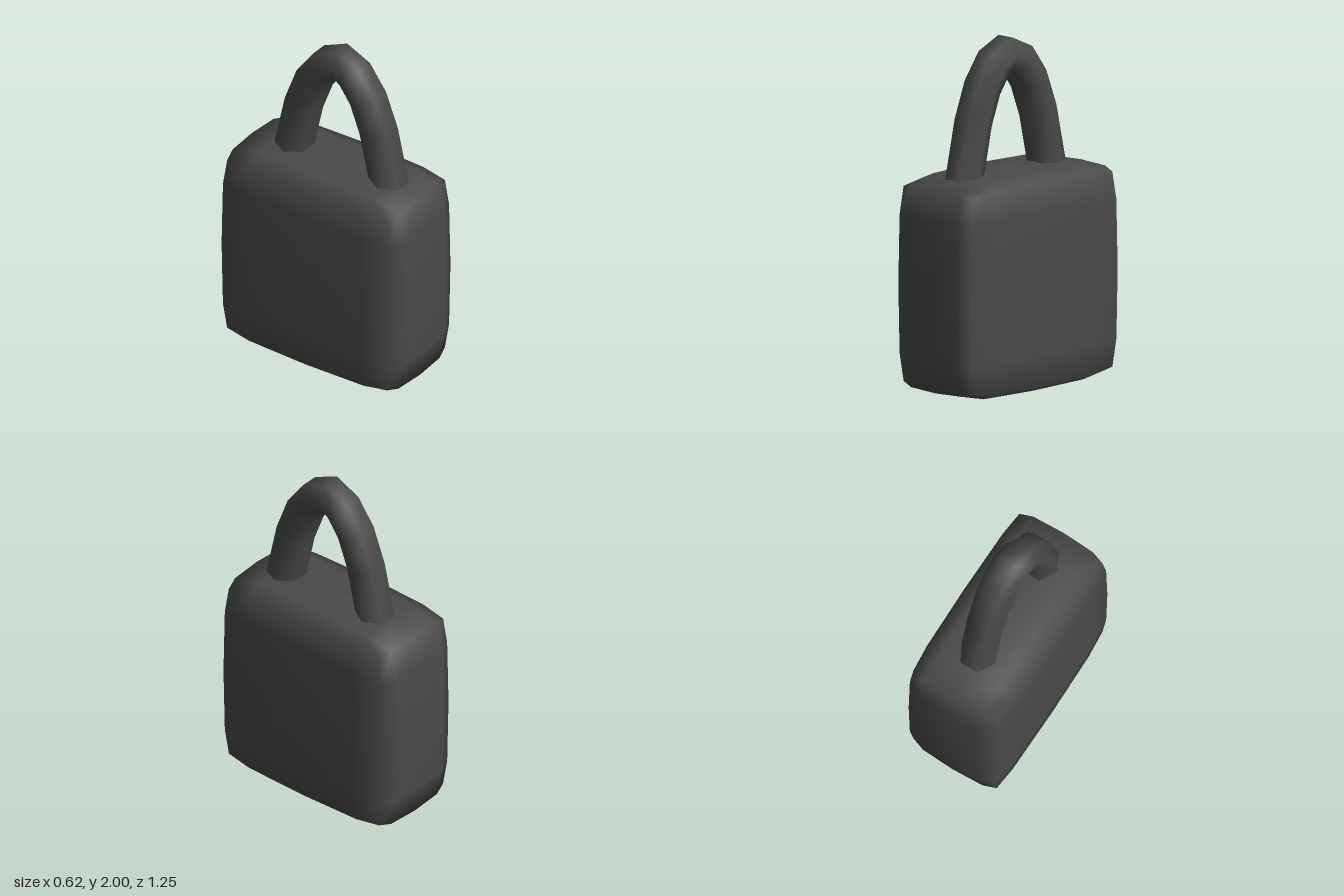
import * as THREE from 'three';
import { mergeVertices } from 'three/addons/utils/BufferGeometryUtils.js';

// Weld the seams so that the normals are smooth everywhere
function smooth(geometry) {
  geometry.deleteAttribute('normal');
  geometry.deleteAttribute('uv');
  const welded = mergeVertices(geometry, 1e-4);
  welded.computeVertexNormals();
  return welded;
}

// Pillowed block: a 4 x 4 x 4 grid whose edges and corners are pulled inwards
function bodyGeometry(hx, hy, hz) {
  const geometry = new THREE.BoxGeometry(2, 2, 2, 4, 4, 4);
  const pos = geometry.attributes.position;
  const pull = (a) => (a > 0.9 ? 0.925 : a > 0.4 ? 0.988 : 1);
  const place = (u, v, w, half) => {
    const a = Math.abs(u);
    if (a < 0.9) return Math.sign(u) * (a > 0.4 ? 0.63 * half : 0);
    return Math.sign(u) * half * Math.max(0.88, pull(Math.abs(v)) * pull(Math.abs(w)));
  };
  for (let i = 0; i < pos.count; i++) {
    const x = pos.getX(i), y = pos.getY(i), z = pos.getZ(i);
    pos.setXYZ(i, place(x, y, z, hx), place(y, x, z, hy), place(z, x, y, hz));
  }
  return smooth(geometry);
}

// Six-sided bar bent along an arch in the YZ plane
function shackleGeometry(radius, centreX, centreZ) {
  const half = [[0.335, 1.2], [0.257, 1.545], [0.184, 1.735], [0.093, 1.86]];
  const path = [
    ...half,
    [0, 1.905],
    ...half.slice().reverse().map(([z, y]) => [-z, y]),
  ].map(([z, y]) => new THREE.Vector2(z + centreZ, y));
  const n = path.length - 1;
  const geometry = new THREE.CylinderGeometry(radius, radius, n, 6, n, true, Math.PI / 2);
  const pos = geometry.attributes.position;
  for (let i = 0; i < pos.count; i++) {
    const k = Math.round(pos.getY(i) + n / 2);
    const t = path[Math.min(k + 1, n)].clone().sub(path[Math.max(k - 1, 0)]).normalize();
    const offset = pos.getZ(i);
    pos.setXYZ(i, pos.getX(i) + centreX, path[k].y - t.x * offset, path[k].x + t.y * offset);
  }
  return smooth(geometry);
}

export function createModel() {
  const group = new THREE.Group();
  group.name = 'padlock';
  const darkGrey = new THREE.MeshStandardMaterial({ color: 0x4a4a4a });
  darkGrey.name = 'darkGrey';

  const body = new THREE.Mesh(bodyGeometry(0.312, 0.63, 0.625), darkGrey);
  body.name = 'body';
  body.position.y = 0.63;

  const shackle = new THREE.Mesh(shackleGeometry(0.11, 0.01, 0.03), darkGrey);
  shackle.name = 'shackle';

  group.add(body, shackle);
  return group;
}
